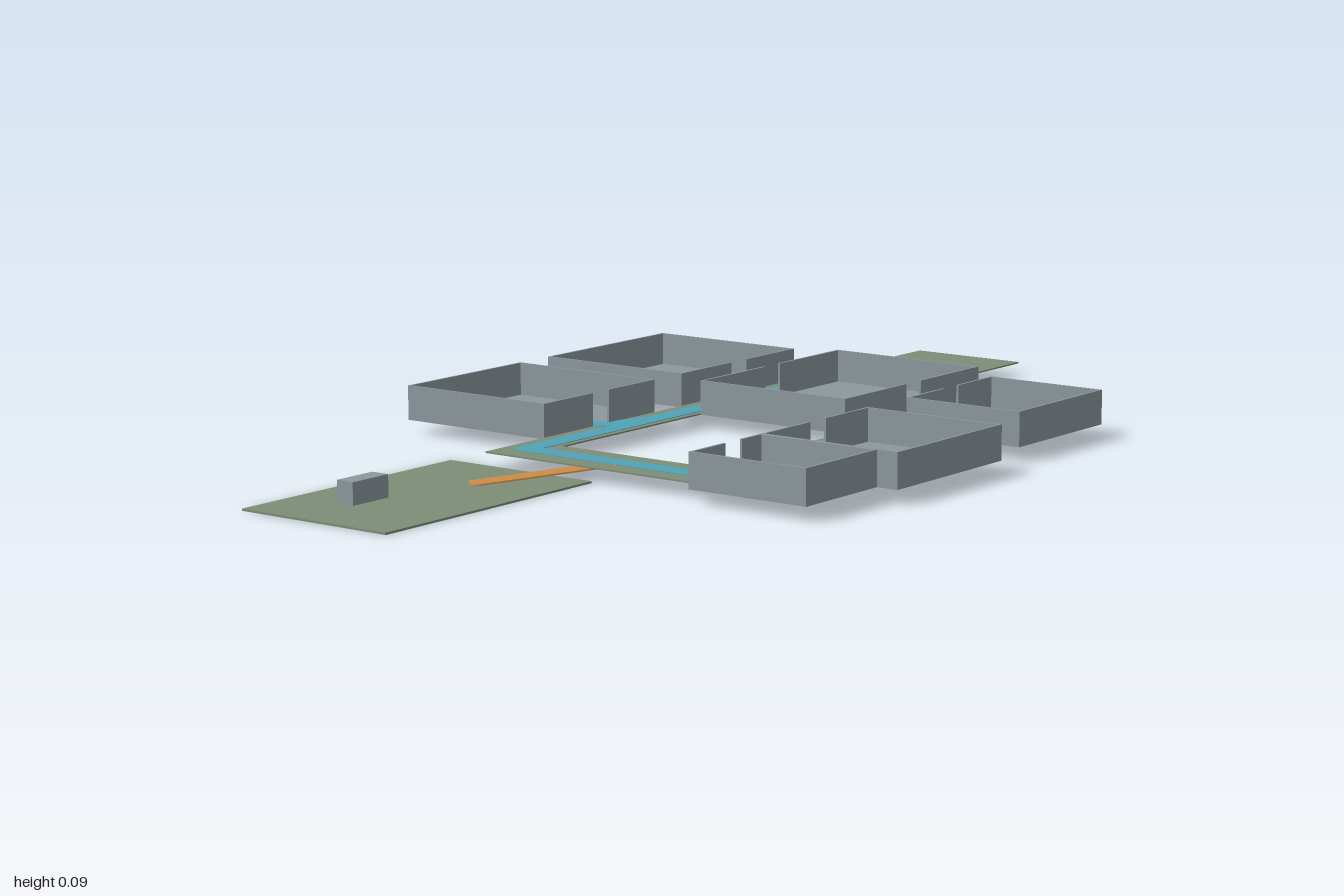
import * as THREE from 'three';

const mat = (name, color) => Object.assign(new THREE.MeshStandardMaterial({ color }), { name });

export function createModel() {
  const model = new THREE.Group();
  model.name = 'floorPlan';
  const stone = mat('stoneGrey', 0x8c989d);
  const ground = mat('mossGreen', 0x7d8d77);
  const water = mat('routeBlue', 0x4fa3b5);
  const pad = mat('padPink', 0xb0779a);
  const wood = mat('rampOrange', 0xc88a45);

  const FLOOR = 0.03, TOP = 0.095, WALL = 0.005, DOOR = 0.05, SLAB = 0.003;

  // Box given by its minimum and maximum corners
  function block(parent, name, material, x0, x1, y0, y1, z0, z1) {
    const mesh = new THREE.Mesh(new THREE.BoxGeometry(x1 - x0, y1 - y0, z1 - z0), material);
    mesh.position.set((x0 + x1) / 2, (y0 + y1) / 2, (z0 + z1) / 2);
    mesh.name = name;
    parent.add(mesh);
    return mesh;
  }

  // Open-topped room; doorLeft / doorRight mark which x walls have a gap at doorZ
  function room(name, x0, x1, z0, z1, doorZ, doorMinX, doorMaxX) {
    const g = new THREE.Group();
    g.name = name;
    block(g, 'roomFloor', stone, x0, x1, FLOOR - SLAB, FLOOR, z0, z1);
    block(g, 'backWall', stone, x0, x1, FLOOR, TOP, z0, z0 + WALL);
    block(g, 'frontWall', stone, x0, x1, FLOOR, TOP, z1 - WALL, z1);
    for (const [x, hasDoor] of [[x0, doorMinX], [x1 - WALL, doorMaxX]]) {
      const spans = hasDoor
        ? [[z0 + WALL, doorZ - DOOR / 2], [doorZ + DOOR / 2, z1 - WALL]]
        : [[z0 + WALL, z1 - WALL]];
      for (const [a, b] of spans) block(g, 'sideWall', stone, x, x + WALL, FLOOR, TOP, a, b);
    }
    model.add(g);
  }

  room('rightBackRoom', -0.577, -0.235, -0.535, -0.155, -0.345, false, true);
  room('rightFrontRoom', -0.577, -0.235, -0.067, 0.272, 0.1, false, true);
  room('centreRoom', -0.155, 0.19, -0.577, -0.112, -0.345, true, true);
  room('leftBackRoom', 0.273, 0.528, -0.493, -0.197, -0.345, true, false);
  room('leftMiddleRoom', 0.273, 0.572, -0.067, 0.272, 0.1, true, false);
  room('leftFrontRoom', 0.273, 0.528, 0.272, 0.487, 0.36, true, false);

  // Corridor ring with its back exit, drawn in x and -z then laid flat
  const outline = new THREE.Shape([
    [-0.235, -0.443], [0.27, -0.443], [0.27, 0.705], [0.017, 0.705], [0.017, 1], [-0.235, 1],
  ].map(([x, y]) => new THREE.Vector2(x, y)));
  outline.holes.push(new THREE.Path([
    [-0.155, -0.315], [-0.155, 0.577], [0.19, 0.577], [0.19, -0.315],
  ].map(([x, y]) => new THREE.Vector2(x, y))));
  const corridor = new THREE.Mesh(
    new THREE.ExtrudeGeometry(outline, { depth: SLAB, bevelEnabled: false }), ground);
  corridor.rotation.x = -Math.PI / 2;
  corridor.position.y = FLOOR - SLAB;
  corridor.name = 'corridorFloor';
  model.add(corridor);

  // Lower forecourt and the small block on it
  block(model, 'forecourt', ground, -0.32, 0.017, 0, 0.004, 0.443, 1);
  block(model, 'smallBlock', stone, -0.17, -0.133, 0.018, 0.06, 0.825, 0.917);

  // Sloping ramp from the forecourt to the corridor
  const low = new THREE.Vector3(-0.147, 0.003, 0.59);
  const high = new THREE.Vector3(0.03, 0.0295, 0.385);
  const ramp = new THREE.Mesh(new THREE.BoxGeometry(0.045, 0.003, low.distanceTo(high)), wood);
  ramp.position.copy(low).lerp(high, 0.5);
  ramp.lookAt(high);
  ramp.name = 'ramp';
  model.add(ramp);

  // Flat painted routes: thin strips with round joints
  function route(name, points, width = 0.045) {
    const g = new THREE.Group();
    g.name = name;
    points.forEach(([x, z], i) => {
      if (i === 0) return;
      const [px, pz] = points[i - 1];
      const strip = new THREE.Mesh(
        new THREE.BoxGeometry(Math.hypot(x - px, z - pz), 0.002, width), water);
      strip.position.set((x + px) / 2, FLOOR, (z + pz) / 2);
      strip.rotation.y = -Math.atan2(z - pz, x - px);
      strip.name = 'routeStrip';
      g.add(strip);
      if (i === points.length - 1) return;
      const joint = new THREE.Mesh(new THREE.CylinderGeometry(width / 2, width / 2, 0.002, 12), water);
      joint.position.set(x, FLOOR, z);
      joint.name = 'routeJoint';
      g.add(joint);
    });
    model.add(g);
  }

  route('mainRoute', [[-0.108, -0.85], [-0.108, -0.7], [-0.08, -0.67], [0.0, -0.645],
    [0.225, -0.59], [0.225, 0.378], [-0.19, 0.378], [-0.19, -0.59], [0.0, -0.645]]);
  route('leftSideRoute', [[0.24, -0.3], [0.25, -0.15], [0.25, 0.34]]);
  route('rightBackBranch', [[-0.4, -0.345], [-0.23, -0.345], [-0.2, -0.2]], 0.04);
  route('rightFrontBranch', [[-0.41, 0.1], [-0.23, 0.1], [-0.2, 0.0]], 0.04);
  route('centreBranch', [[-0.19, -0.2], [-0.165, -0.345], [0.2, -0.345], [0.22, -0.2]], 0.04);
  route('leftBackBranch', [[0.4, -0.345], [0.265, -0.345], [0.24, -0.2]], 0.04);
  route('leftMiddleBranch', [[0.425, 0.1], [0.25, 0.1]], 0.04);
  route('leftFrontBranch', [[0.4, 0.378], [0.28, 0.355], [0.25, 0.26]], 0.04);

  // Square floor pads
  for (const [x, z] of [[-0.403, -0.345], [0.02, -0.345], [0.4, 0.378]]) {
    block(model, 'floorPad', pad, x - 0.047, x + 0.047, FLOOR, FLOOR + 0.002, z - 0.047, z + 0.047);
  }
  return model;
}
